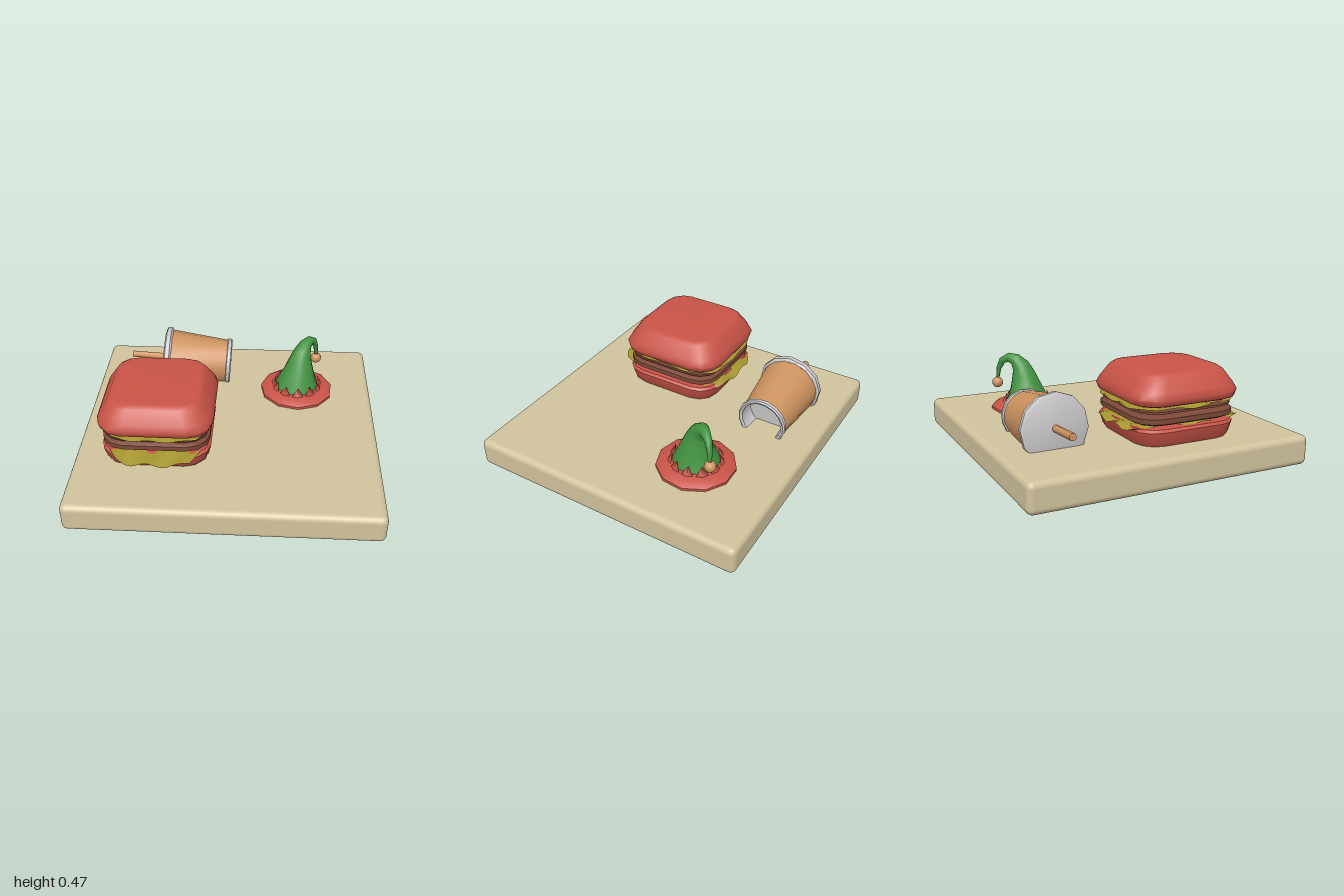
import * as THREE from 'three';
import { toCreasedNormals } from 'three/addons/utils/BufferGeometryUtils.js';
import { RoundedBoxGeometry } from 'three/addons/geometries/RoundedBoxGeometry.js';

const TURN = -35 * Math.PI / 180;

function mat(name, color, side = THREE.FrontSide) {
  const m = new THREE.MeshStandardMaterial({ color, side });
  m.name = name;
  return m;
}

function add(parent, name, geometry, material, x = 0, y = 0, z = 0) {
  const mesh = new THREE.Mesh(geometry, material);
  mesh.name = name;
  mesh.position.set(x, y, z);
  parent.add(mesh);
  return mesh;
}

// Skin a list of rings (bottom to top) and close both ends
function loft(rings, crease) {
  const n = rings[0].length, pos = [], idx = [];
  rings.forEach(r => r.forEach(p => pos.push(p.x, p.y, p.z)));
  for (let i = 0; i < rings.length - 1; i++) {
    for (let j = 0; j < n; j++) {
      const a = i * n + j, b = i * n + (j + 1) % n;
      idx.push(a, a + n, b, b, a + n, b + n);
    }
  }
  const top = (rings.length - 1) * n;
  for (let j = 1; j < n - 1; j++) idx.push(0, j, j + 1, top, top + j + 1, top + j);
  const g = new THREE.BufferGeometry();
  g.setAttribute('position', new THREE.Float32BufferAttribute(pos, 3));
  g.setIndex(idx);
  return toCreasedNormals(g, crease);
}

// Rounded square outline at a height
function squareRing(half, radius, y, steps = 3) {
  const pts = [];
  for (let c = 0; c < 4; c++) {
    const mid = (c + 0.5) * Math.PI / 2;
    const cx = Math.sign(Math.cos(mid)) * (half - radius);
    const cz = Math.sign(Math.sin(mid)) * (half - radius);
    for (let s = 0; s <= steps; s++) {
      const a = (c + s / steps) * Math.PI / 2;
      pts.push(new THREE.Vector3(cx + radius * Math.cos(a), y, cz + radius * Math.sin(a)));
    }
  }
  return pts;
}

// Stack of rounded squares: [half size, corner radius, y]
const slab = (rows, crease = 0.7) => loft(rows.map(r => squareRing(...r)), crease);

function lathe(points, sides) {
  const g = new THREE.LatheGeometry(points.map(p => new THREE.Vector2(...p)), sides);
  return toCreasedNormals(g, 0.6);
}

// Rippled thin sheet
function wavySheet(w, d, amp, droop) {
  const g = new THREE.PlaneGeometry(w, d, 14, 16).rotateX(-Math.PI / 2);
  const p = g.attributes.position;
  for (let i = 0; i < p.count; i++) {
    const x = p.getX(i), z = p.getZ(i);
    const pinch = 1 - 0.25 * Math.pow(2 * z / d, 4);
    p.setX(i, x * pinch);
    p.setY(i, amp * Math.sin(x * 30 + z * 9) * Math.cos(z * 19) - droop * Math.pow(2 * z / d, 4));
    p.setZ(i, z * (1 - 0.1 * Math.pow(2 * x / w, 4)));
  }
  g.computeVertexNormals();
  return g;
}

function buildBurger(m) {
  const g = new THREE.Group();
  g.name = 'burger';
  g.position.set(-0.365, 0, -0.07);
  g.rotation.y = TURN;
  add(g, 'bottomBun', slab([[0.235, 0.1, 0.14], [0.25, 0.11, 0.16], [0.262, 0.11, 0.215], [0.25, 0.1, 0.227]]), m.red);
  add(g, 'lowerLettuce', wavySheet(0.46, 0.63, 0.012, 0.012), m.olive, 0, 0.234, 0.018);
  add(g, 'lowerPatty', slab([[0.24, 0.1, 0.243], [0.258, 0.11, 0.253], [0.258, 0.11, 0.277], [0.24, 0.1, 0.287]]), m.brown);
  add(g, 'upperPatty', slab([[0.235, 0.1, 0.295], [0.252, 0.11, 0.299], [0.252, 0.11, 0.309], [0.235, 0.1, 0.314]]), m.brown);
  add(g, 'upperLettuce', wavySheet(0.53, 0.55, 0.01, 0.004), m.olive, 0, 0.322, 0);
  // Pickle slices peeping out under the top bun
  for (let i = 0; i < 4; i++) {
    const a = i * Math.PI / 2 + 0.6;
    add(g, 'pickle', new THREE.CylinderGeometry(0.09, 0.09, 0.018, 12), m.olive,
      0.165 * Math.cos(a), 0.323, 0.165 * Math.sin(a));
  }
  add(g, 'topBun', slab([[0.25, 0.1, 0.33], [0.268, 0.115, 0.338], [0.276, 0.12, 0.365],
    [0.262, 0.115, 0.395], [0.222, 0.1, 0.458], [0.205, 0.09, 0.47], [0.19, 0.08, 0.472]], 0.9), m.red);
  return g;
}

function buildCup(m) {
  const g = new THREE.Group();
  g.name = 'fallenCup';
  const lidEnd = new THREE.Vector3(-0.07, 0.238, -0.58);
  const axis = new THREE.Vector3(0.23, 0.214, -0.375).sub(lidEnd).normalize();
  g.position.copy(lidEnd);
  g.quaternion.setFromUnitVectors(new THREE.Vector3(0, 1, 0), axis);
  add(g, 'cupLid', lathe([[0, 0], [0.15, 0], [0.165, 0.008], [0.165, 0.03], [0.152, 0.04], [0.14, 0.04]], 12), m.grey);
  add(g, 'cupBody', lathe([[0.152, 0.03], [0.118, 0.35]], 16), m.tan);
  add(g, 'cupBase', lathe([[0.115, 0.34], [0.126, 0.345], [0.126, 0.362], [0.118, 0.368],
    [0.106, 0.362], [0.106, 0.27], [0, 0.27]], 16), m.grey);
  add(g, 'straw', new THREE.CylinderGeometry(0.018, 0.018, 0.2, 8), m.tan, 0, -0.08, 0);
  return g;
}

function buildHat(m) {
  const g = new THREE.Group();
  g.name = 'hat';
  g.position.set(0.445, 0, -0.04);
  add(g, 'brim', lathe([[0, 0.14], [0.192, 0.14], [0.192, 0.158], [0.165, 0.176], [0.12, 0.182], [0, 0.182]], 11), m.red);

  // Curling crown: [x, y, z, radius] down its centre line
  const spine = [[0, 0.17, 0, 0.118], [0.005, 0.215, 0, 0.1], [0.012, 0.265, 0, 0.08], [0.02, 0.32, -0.005, 0.062],
    [0.034, 0.365, -0.01, 0.047], [0.06, 0.397, -0.02, 0.034], [0.095, 0.408, -0.03, 0.024],
    [0.13, 0.39, -0.04, 0.018], [0.152, 0.345, -0.045, 0.013], [0.16, 0.285, -0.047, 0.008]];
  const centres = spine.map(s => new THREE.Vector3(s[0], s[1], s[2]));
  const up = new THREE.Vector3(0, 1, 0);
  const rings = spine.map((s, i) => {
    const dir = centres[Math.min(i + 1, spine.length - 1)].clone().sub(centres[Math.max(i - 1, 0)]).normalize();
    const q = new THREE.Quaternion().setFromUnitVectors(up, i ? dir : up);
    return Array.from({ length: 14 }, (_, j) => {
      const a = j / 14 * Math.PI * 2;
      return new THREE.Vector3(s[3] * Math.cos(a), 0, s[3] * Math.sin(a)).applyQuaternion(q).add(centres[i]);
    });
  });
  add(g, 'crown', loft(rings, 0.9), m.green);

  // Zigzag hem, alternating red points around the crown
  const teeth = 11;
  for (let i = 0; i < teeth; i++) {
    const tooth = new THREE.ConeGeometry(0.032, 0.05, 4).scale(1, 1, 0.3).rotateX(-0.3);
    const a = i / teeth * Math.PI * 2;
    const t = add(g, 'collarPoint', tooth, m.red, 0.118 * Math.sin(a), 0.2, 0.118 * Math.cos(a));
    t.rotation.y = a;
  }
  add(g, 'bell', new THREE.SphereGeometry(0.029, 12, 8), m.tan, 0.16, 0.27, -0.048);
  return g;
}

export function createModel() {
  const m = {
    board: mat('boardBeige', 0xd0c29c),
    red: mat('red', 0xc85347),
    green: mat('green', 0x439442),
    tan: mat('tan', 0xcd935f),
    grey: mat('lightGrey', 0xc9c7c9),
    brown: mat('pattyBrown', 0x7c4838),
    olive: mat('oliveYellow', 0xa5952f, THREE.DoubleSide)
  };
  const model = new THREE.Group();
  model.name = 'servingBoardScene';
  const board = add(model, 'board', new RoundedBoxGeometry(1.48, 0.145, 1.41, 3, 0.03), m.board, 0, 0.0725, 0);
  board.rotation.y = TURN;
  model.add(buildBurger(m), buildCup(m), buildHat(m));
  return model;
}
